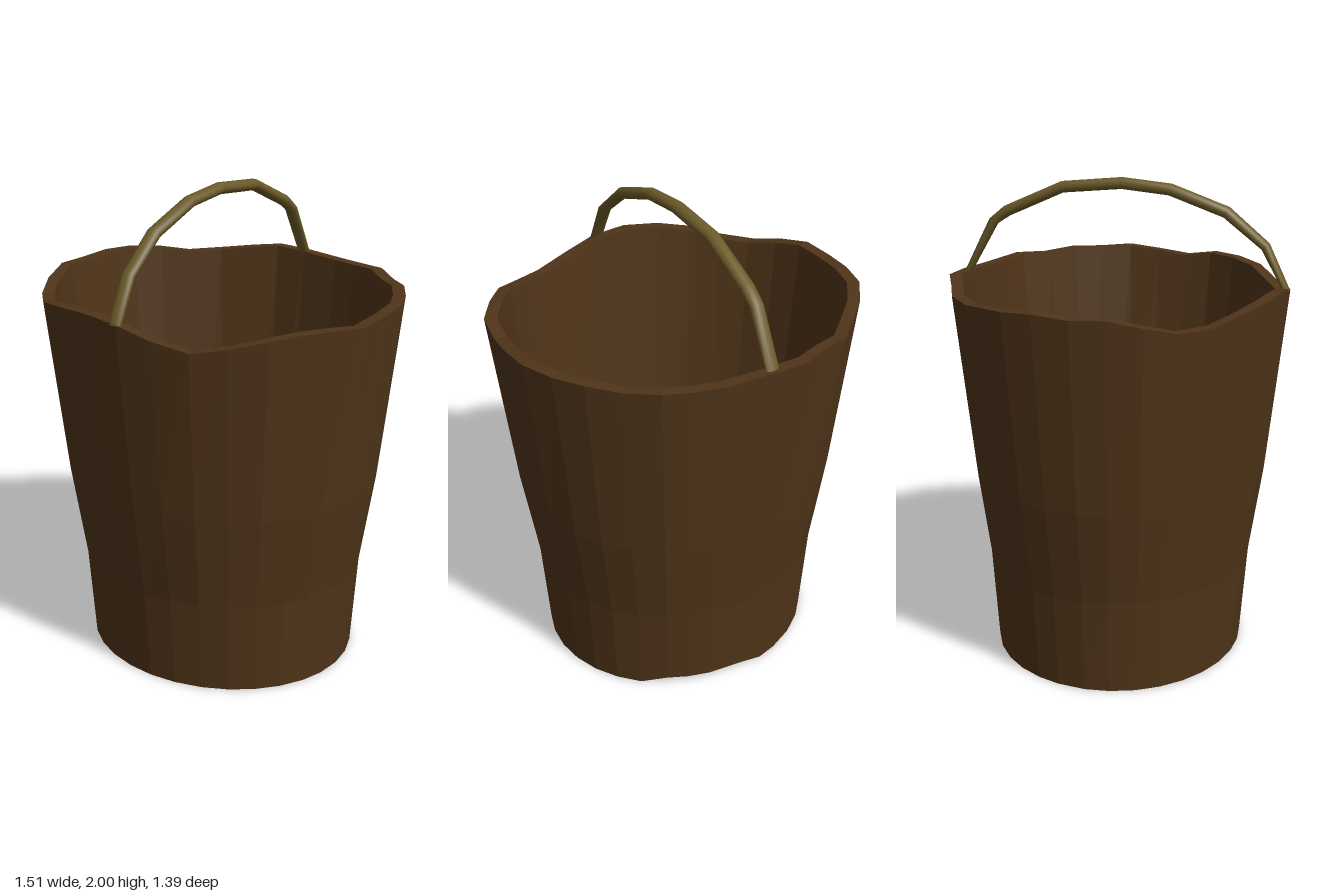
import * as THREE from 'three';

// Worn rim outline, seen from above: x, z and height of each corner
const RIM = [
  [-0.15, -0.70, 1.595], [0, -0.695, 1.59], [0.19, -0.67, 1.58], [0.31, -0.64, 1.58],
  [0.42, -0.60, 1.585], [0.53, -0.50, 1.575], [0.63, -0.40, 1.585], [0.70, -0.28, 1.58],
  [0.755, -0.15, 1.585], [0.755, -0.01, 1.57], [0.74, 0.13, 1.555], [0.72, 0.26, 1.575],
  [0.64, 0.38, 1.575], [0.55, 0.49, 1.56], [0.43, 0.57, 1.53], [0.30, 0.64, 1.51],
  [0.15, 0.675, 1.54], [0, 0.69, 1.58], [-0.15, 0.68, 1.595], [-0.30, 0.64, 1.585],
  [-0.43, 0.575, 1.565], [-0.54, 0.485, 1.535], [-0.64, 0.38, 1.53], [-0.71, 0.26, 1.56],
  [-0.75, 0.125, 1.59], [-0.76, -0.01, 1.585], [-0.74, -0.16, 1.595], [-0.71, -0.285, 1.59],
  [-0.625, -0.40, 1.58], [-0.52, -0.49, 1.56], [-0.41, -0.59, 1.565], [-0.26, -0.65, 1.585],
].map(([x, z, y]) => new THREE.Vector3(x, y, z));

// Joins closed rings of points into a surface, leaving out collapsed triangles
function skin(name, rings, material) {
  const n = rings[0].length;
  const positions = rings.flat().flatMap((p) => p.toArray());
  const index = [];
  const addTriangle = (p, q, r) => {
    const [a, b, c] = [p, q, r].map((i) => rings[Math.floor(i / n)][i % n]);
    if (a.equals(b) || b.equals(c) || a.equals(c)) return;
    index.push(p, q, r);
  };
  for (let j = 0; j < rings.length - 1; j++) {
    for (let i = 0; i < n; i++) {
      const a = j * n + i, b = j * n + (i + 1) % n;
      addTriangle(a, a + n, b);
      addTriangle(b, a + n, b + n);
    }
  }
  const geometry = new THREE.BufferGeometry();
  geometry.setAttribute('position', new THREE.Float32BufferAttribute(positions, 3));
  geometry.setIndex(index);
  geometry.computeVertexNormals();
  const mesh = new THREE.Mesh(geometry, material);
  mesh.name = name;
  return mesh;
}

// Oval ring that takes on more of the uneven rim shape the higher it lies
function wallRing(y, halfWidth, front, back) {
  return RIM.map((p) => {
    const u = p.x / 0.757, v = p.z / 0.69, r = Math.hypot(u, v);
    const k = THREE.MathUtils.lerp(1, r, y / 1.58) / r;
    return new THREE.Vector3(u * k * halfWidth, y, v * k * (v > 0 ? front : back));
  });
}

const pointRing = (p, n) => Array.from({ length: n }, () => p.clone());

// Rings of an oval rod that follows a bent line in the yz plane
function rodRings(path, sides) {
  const rings = path.map(([z, y, r], i) => {
    const a = path[Math.max(i - 1, 0)], b = path[Math.min(i + 1, path.length - 1)];
    const t = new THREE.Vector2(b[0] - a[0], b[1] - a[1]).normalize();
    return Array.from({ length: sides }, (_, s) => {
      const angle = (s / sides) * Math.PI * 2;
      const d = Math.sin(angle) * r;
      return new THREE.Vector3(-0.01 + Math.cos(angle) * 0.03, y - t.x * d, z + t.y * d);
    });
  });
  const endCap = ([z, y]) => pointRing(new THREE.Vector3(-0.01, y, z), sides);
  return [endCap(path[0]), ...rings, endCap(path[path.length - 1])];
}

export function createModel() {
  const model = new THREE.Group();
  model.name = 'bucket';
  const wood = new THREE.MeshStandardMaterial({ color: 0x4f3419, flatShading: true });
  const metal = new THREE.MeshStandardMaterial({ color: 0x6b5a28 });
  const n = RIM.length;

  // Bottom edge, chipped a little at the back
  const bottom = wallRing(0, 0.59, 0.52, 0.54);
  for (const p of bottom) if (p.z < -0.4 && p.x > -0.05 && p.x < 0.35) p.y = 0.03;

  const innerRim = RIM.map((p) => new THREE.Vector3(p.x * 0.933, p.y, p.z * 0.93));
  const floorEdge = wallRing(0.08, 0.565, 0.5, 0.53);

  model.add(
    skin('base', [pointRing(new THREE.Vector3(0, 0, 0), n), bottom], wood),
    skin('outerWall', [
      bottom,
      wallRing(0.4, 0.615, 0.55, 0.565),
      wallRing(0.8, 0.675, 0.61, 0.615),
      RIM,
    ], wood),
    skin('rim', [RIM, innerRim], wood),
    skin('innerWall', [innerRim, floorEdge], wood),
    skin('floor', [floorEdge, pointRing(new THREE.Vector3(0, 0.08, -0.015), n)], wood),
  );

  // Arched handle from the front of the rim to the back: z, y, thickness
  const arch = [
    [0.68, 1.57, 0.013], [0.59, 1.745, 0.02], [0.43, 1.875, 0.024], [0.2, 1.957, 0.024],
    [0, 1.976, 0.024], [-0.25, 1.952, 0.024], [-0.49, 1.845, 0.024], [-0.55, 1.8, 0.02],
    [-0.67, 1.58, 0.013],
  ];
  model.add(skin('handle', rodRings(arch, 10), metal));
  return model;
}
